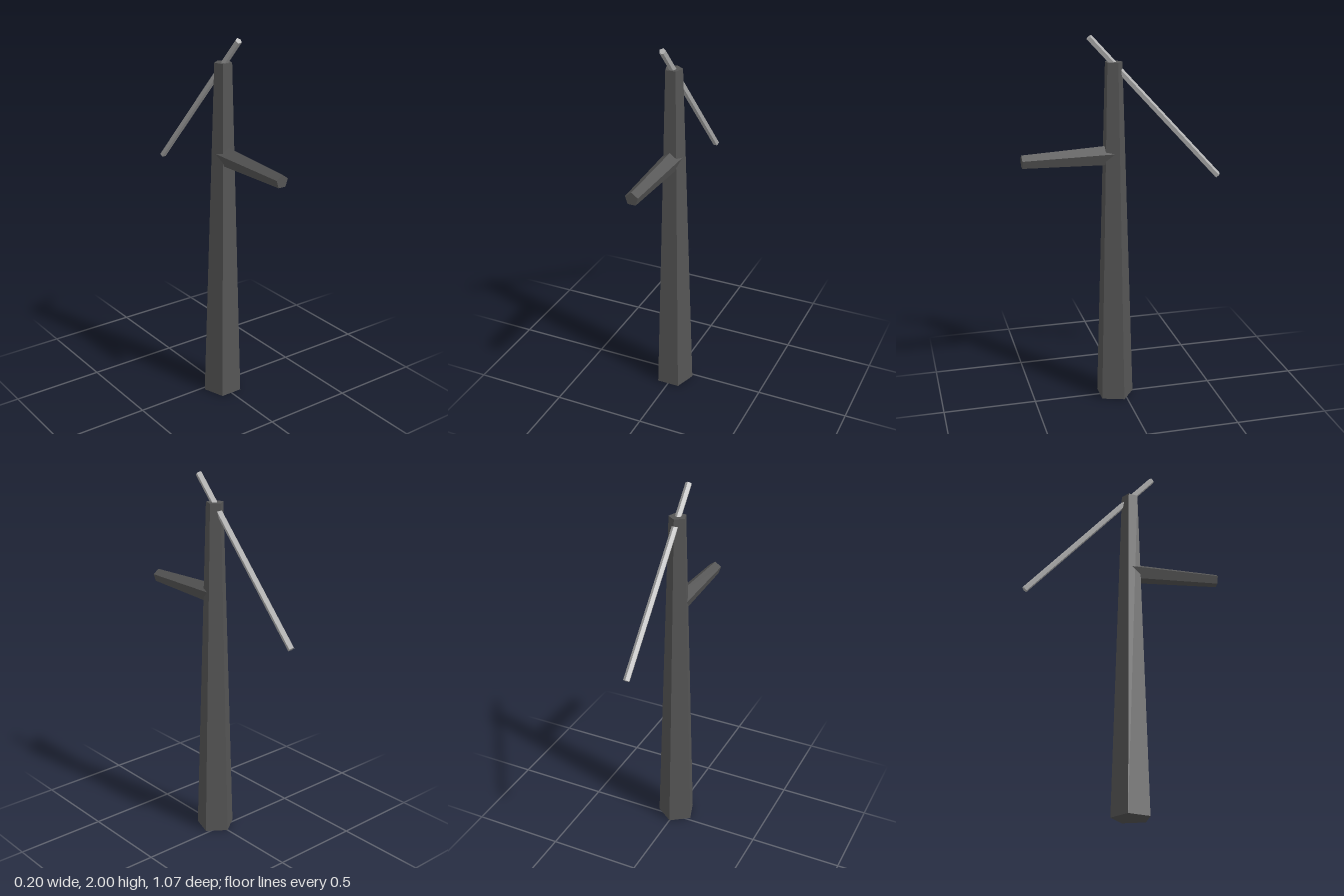
import * as THREE from 'three';

const bark = new THREE.MeshStandardMaterial({ color: 0x555555 });
bark.name = 'darkGrey';
const metal = new THREE.MeshStandardMaterial({ color: 0xb2b2b2 });
metal.name = 'lightGrey';
for (const m of [bark, metal]) m.flatShading = true;

// Five-sided tapered bar in the x = 0 plane; one ridge points towards `ridge`.
function bar(name, from, to, r0, r1, ridge, material) {
  const a = new THREE.Vector3(...from);
  const b = new THREE.Vector3(...to);
  const axis = b.clone().sub(a);
  const length = axis.length();
  axis.normalize();
  const side = axis.clone().cross(new THREE.Vector3(...ridge)).normalize();
  const up = side.clone().cross(axis);
  const geometry = new THREE.CylinderGeometry(r1, r0, length, 5);
  geometry.applyMatrix4(new THREE.Matrix4().makeBasis(side, axis, up));
  const mesh = new THREE.Mesh(geometry, material);
  mesh.name = name;
  mesh.position.copy(a).add(b).multiplyScalar(0.5);
  return mesh;
}

export function createModel() {
  const group = new THREE.Group();
  group.name = 'post';
  group.add(
    // upright post, ridge to the back
    bar('trunk', [0, 0, 0.05], [0, 1.86, 0.05], 0.105, 0.047, [0, 0, -1], bark),
    // arm reaching forwards
    bar('branch', [0, 1.373, 0.05], [0, 1.366, 0.535], 0.054, 0.036, [0, 1, 0], bark),
    // thin slanted rod through the top
    bar('rod', [0, 1.225, -0.525], [0, 1.988, 0.177], 0.0175, 0.0175, [0, 1, 0], metal),
  );
  return group;
}
